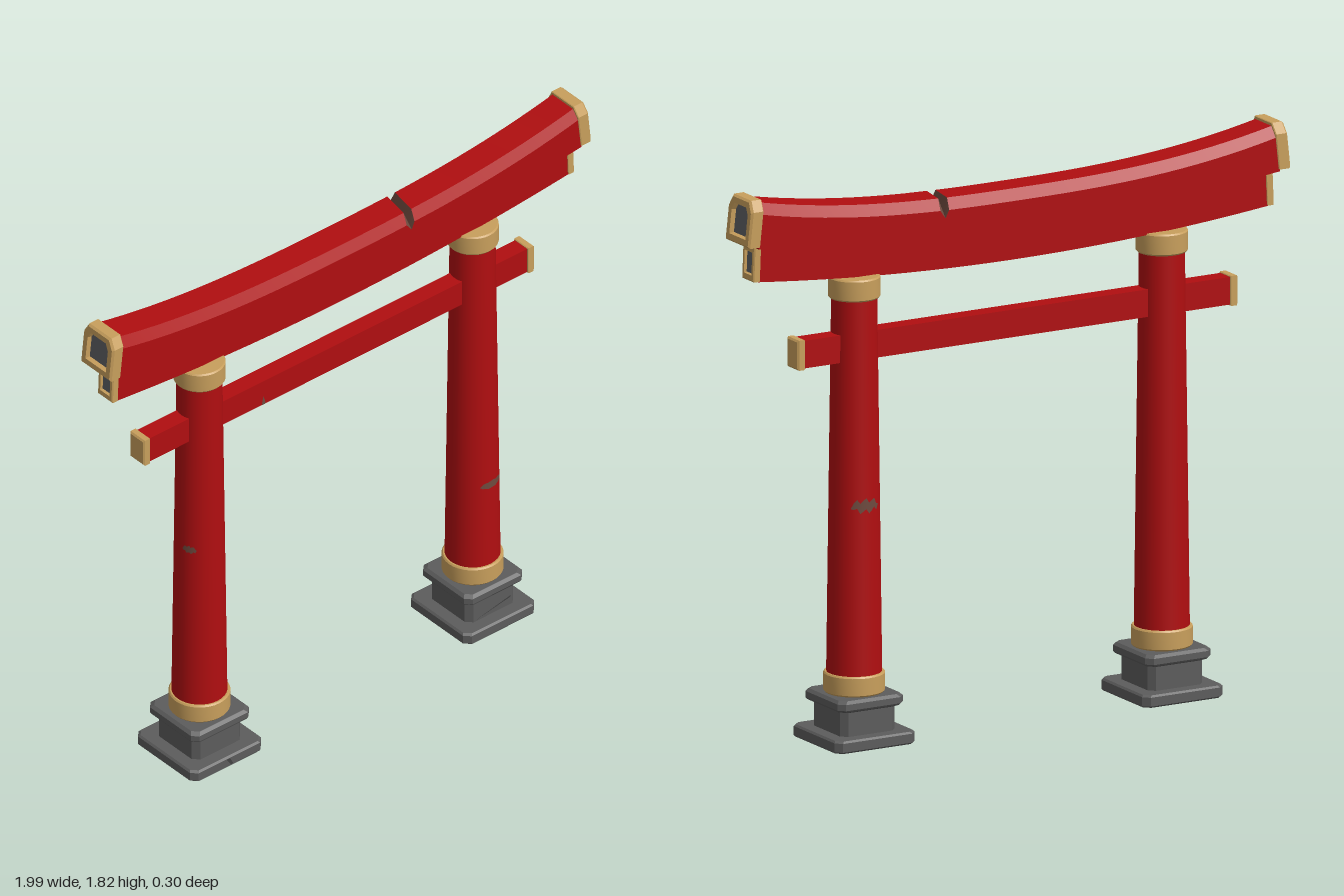
import * as THREE from 'three';
import { toCreasedNormals } from 'three/addons/utils/BufferGeometryUtils.js';

const paint = (name, color, side = THREE.FrontSide) => {
  const m = new THREE.MeshStandardMaterial({ color, side });
  m.name = name;
  return m;
};

// Skin closed rings of [x, y, z]; pick(k, i) gives the material index of a quad
function loft(rings, { start = true, end = true, pick = () => 0, endMat = 0, crease = 0.4 } = {}) {
  const buckets = [[], []];
  const tri = (m, ...pts) => pts.forEach((p) => buckets[m].push(...p));
  const n = rings[0].length;
  for (let k = 0; k + 1 < rings.length; k++) {
    for (let i = 0; i < n; i++) {
      const j = (i + 1) % n, a = rings[k], b = rings[k + 1], m = pick(k, i);
      tri(m, a[i], a[j], b[j]);
      tri(m, a[i], b[j], b[i]);
    }
  }
  const first = rings[0], last = rings[rings.length - 1];
  for (let i = 1; i + 1 < n; i++) {
    if (start) tri(0, first[0], first[i + 1], first[i]);
    if (end) tri(endMat, last[0], last[i], last[i + 1]);
  }
  const g = new THREE.BufferGeometry();
  g.setAttribute('position', new THREE.Float32BufferAttribute([...buckets[0], ...buckets[1]], 3));
  g.addGroup(0, buckets[0].length / 3, 0);
  if (buckets[1].length) g.addGroup(buckets[0].length / 3, buckets[1].length / 3, 1);
  return toCreasedNormals(g, crease);
}

export function createModel() {
  const red = paint('red lacquer', 0xb00e10);
  const gold = paint('gold trim', 0xc89f5c);
  const stone = paint('grey stone', 0x5c5c5c, THREE.DoubleSide);
  const panel = paint('end panel grey', 0x5e6064);
  const wood = paint('bare wood', 0x6e4a3e, THREE.DoubleSide);
  const crackGrey = paint('crack grey', 0x424242);

  const model = new THREE.Group();
  model.name = 'gate';
  const add = (name, geometry, material, parent = model) => {
    const mesh = new THREE.Mesh(geometry, material);
    mesh.name = name;
    parent.add(mesh);
    return mesh;
  };

  // Stepped stone base: chamfered squares [half width, height]
  const baseSteps = [[0.143, 0], [0.147, 0.005], [0.147, 0.034], [0.141, 0.04], [0.1, 0.04], [0.1, 0.118],
    [0.116, 0.125], [0.12, 0.131], [0.12, 0.151], [0.11, 0.16]];
  const baseRings = baseSteps.map(([h, y]) => {
    const c = h - 0.02;
    return [[h, -c], [c, -h], [-c, -h], [-h, -c], [-h, c], [-c, h], [c, h], [h, c]].map(([x, z]) => [x, y, z]);
  });

  const band = (r, y0, y1) => new THREE.LatheGeometry(
    [[r - 0.03, y0], [r - 0.004, y0], [r, y0 + 0.005], [r, y1 - 0.005], [r - 0.004, y1], [0, y1]]
      .map(([x, y]) => new THREE.Vector2(x, y)), 32);
  const columnRadius = (y) => 0.089 - 0.016 * (y - 0.2) / 1.25;

  // Chipped patch wrapped on a column; angle 0 faces +z, PI / 2 faces +x
  const chip = (angle, y, spread, height, jag) => {
    const pos = [], idx = [], n = 10;
    for (let i = 0; i <= n; i++) {
      const t = i / n * 2 - 1, a = angle + t * spread;
      const h = height * Math.sqrt(Math.max(0, 1 - t * t)) / 2;
      const shift = jag * (i % 3 - 1);
      for (const s of [-1, 1]) {
        const r = columnRadius(y) + 0.002;
        pos.push(Math.sin(a) * r, y + shift + s * h, Math.cos(a) * r);
      }
      if (i < n) idx.push(2 * i, 2 * i + 2, 2 * i + 3, 2 * i, 2 * i + 3, 2 * i + 1);
    }
    const g = new THREE.BufferGeometry();
    g.setAttribute('position', new THREE.Float32BufferAttribute(pos, 3));
    g.setIndex(idx);
    g.computeVertexNormals();
    return g;
  };

  // Columns with their bases and bands
  for (const side of [-1, 1]) {
    const post = new THREE.Group();
    post.name = side > 0 ? 'leftPost' : 'rightPost';
    post.position.x = side * 0.564;
    model.add(post);
    add('stoneBase', loft(baseRings, { start: side > 0, crease: 0.2 }), stone, post);
    const shaft = new THREE.CylinderGeometry(columnRadius(1.46), columnRadius(0.18), 1.28, 32, 1, true);
    add('column', shaft.translate(0, 0.82, 0), red, post);
    add('lowerBand', toCreasedNormals(band(0.098, 0.16, 0.226), 0.5), gold, post);
    add('upperBand', toCreasedNormals(band(0.083, 1.445, 1.516), 0.5), gold, post);
    if (side > 0) {
      add('frontChip', chip(0.15, 0.535, 0.58, 0.027, 0.001), wood, post);
      add('backChip', chip(Math.PI - 0.05, 0.78, 0.62, 0.036, 0.008), wood, post);
    } else {
      add('sideChip', chip(-1.1, 0.825, 0.3, 0.025, 0.003), wood, post);
    }
  }

  // Curved beams
  const topY = (x) => 1.735 + 0.08 * Math.abs(x / 0.95) ** 2.6;
  const midY = (x) => 1.61 + 0.055 * (x / 0.95) ** 2;
  const lowY = (x) => 1.497 + 0.052 * (x / 0.95) ** 2;

  // Top beam stations [x, notch depth, slant]; a slanted V notch is cut near x = 0.26
  const stations = [];
  for (let i = 0; i <= 32; i++) {
    const x = -0.955 + 1.91 * i / 32;
    if (x < 0.2 || x > 0.32) stations.push([x, 0, 0]);
  }
  stations.push([0.245, 0, -0.17], [0.262, 0.062, -0.12], [0.277, 0, -0.17]);
  stations.sort((a, b) => a[0] - b[0]);
  const notch = stations.findIndex((s) => s[1] > 0);
  const topRings = stations.map(([x, cut, slant]) => {
    const t = topY(x) - cut, b = midY(x), s = cut ? t : t - 0.036;
    return [[0.07, b], [-0.07, b], [-0.07, s], [-0.05, t], [0.05, t], [0.07, s]]
      .map(([z, y]) => [x + slant * z, y, z]);
  });
  add('topBeam', loft(topRings, {
    pick: (k, i) => ((k === notch - 1 || k === notch) && i >= 2 && i <= 4 ? 1 : 0),
  }), [red, wood]);

  const lowerRings = [];
  for (let i = 0; i <= 24; i++) {
    const x = -0.935 + 1.87 * i / 24, b = lowY(x), t = midY(x) + 0.004;
    lowerRings.push([[0.032, b], [-0.032, b], [-0.032, t], [0.032, t]].map(([z, y]) => [x, y, z]));
  }
  add('lowerBeam', loft(lowerRings), red);

  // Gold end caps with a recessed panel; steps are [x, scale of outline]
  const endCap = (outline, cy, steps, tilt) => loft(
    steps.map(([x, s]) => outline.map(([z, y]) => [x - tilt * y * s, cy + y * s, z * s])),
    { endMat: 1, crease: 0.2 });
  const bigOutline = [[0.073, -0.075], [-0.073, -0.075], [-0.073, 0.04], [-0.053, 0.074], [0.053, 0.074], [0.073, 0.04]];
  const box = (w, h) => [[w, -h], [-w, -h], [-w, h], [w, h]];
  const bigCap = endCap(bigOutline, 1.748,
    [[0.943, 0.98], [0.946, 1.01], [0.98, 1.01], [0.987, 0.93], [0.987, 0.68], [0.972, 0.64]], 0.11);
  const smallCap = endCap(box(0.036, 0.058), 1.607,
    [[0.928, 0.96], [0.93, 1], [0.949, 1], [0.953, 0.9], [0.953, 0.64], [0.944, 0.6]], 0.04);
  const tieCap = endCap(box(0.035, 0.049), 1.288, [[0.78, 0.95], [0.783, 1], [0.802, 1], [0.807, 0.88]], 0);

  // Straight tie beam, set slightly off centre
  const tie = new THREE.Group();
  tie.name = 'tieBeam';
  tie.position.x = -0.016;
  model.add(tie);
  add('tieBar', new THREE.BoxGeometry(1.57, 0.09, 0.06).translate(0, 1.288, 0), red, tie);

  for (const turn of [0, Math.PI]) {
    add('topBeamCap', bigCap, [gold, panel]).rotation.y = turn;
    add('lowerBeamCap', smallCap, [gold, panel]).rotation.y = turn;
    add('tieBeamCap', tieCap, [gold, gold], tie).rotation.y = turn;
  }

  // Small flat cracks on front faces
  const crack = (name, points, z, material) => {
    const shape = new THREE.Shape(points.map(([x, y]) => new THREE.Vector2(x, y)));
    add(name, new THREE.ShapeGeometry(shape).translate(0, 0, z), material);
  };
  crack('tieBeamCrack', [[-0.333, 1.243], [-0.317, 1.243], [-0.321, 1.262], [-0.327, 1.276]], 0.0315, wood);
  crack('leftBaseCrack', [[0.49, 0.045], [0.635, 0.07], [0.635, 0.076], [0.56, 0.06]], 0.1015, crackGrey);
  crack('rightBaseCrack', [[-0.557, 0.006], [-0.55, 0.01], [-0.563, 0.034], [-0.577, 0.034]], 0.1485, crackGrey);
  return model;
}
